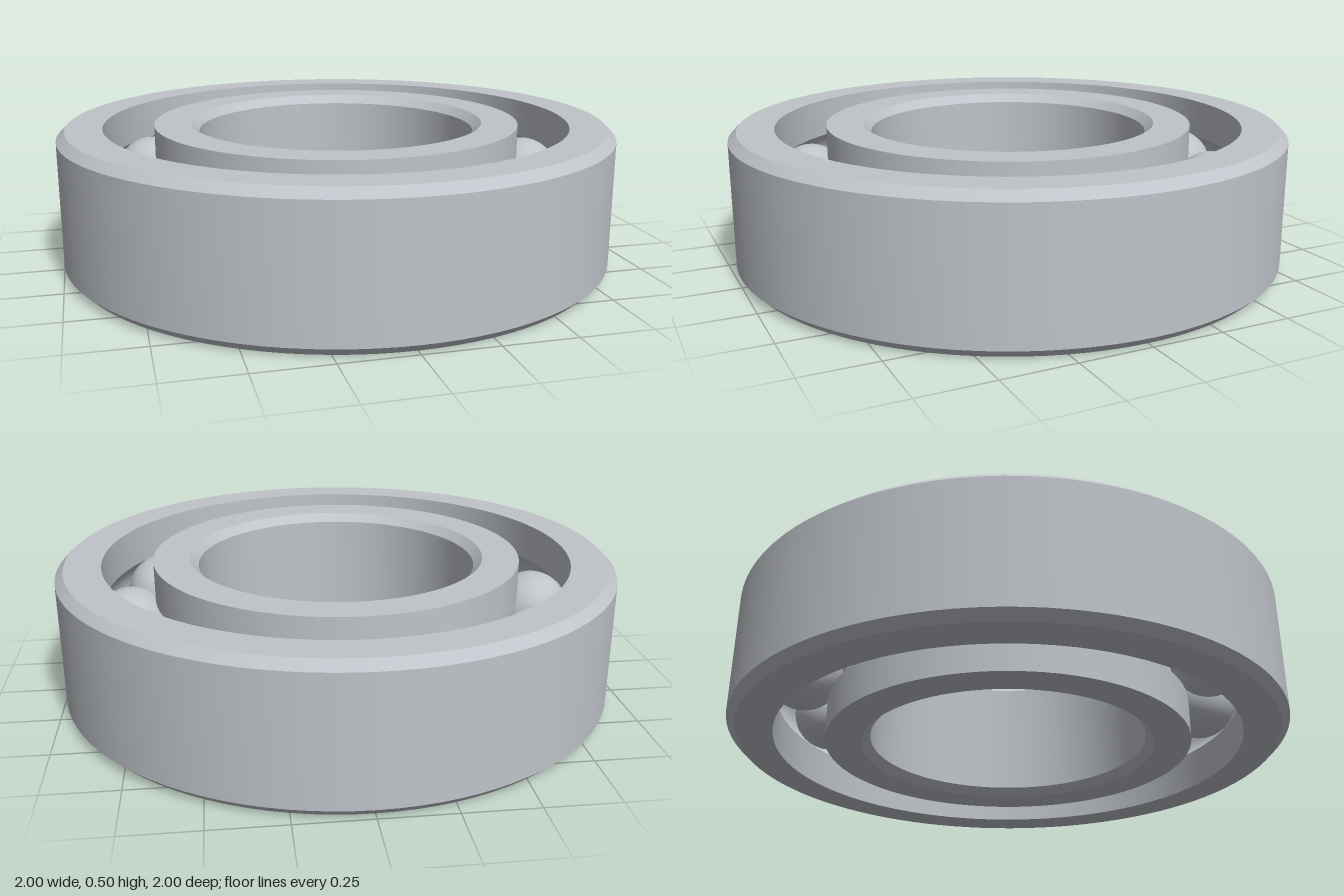
import * as THREE from 'three';
import { toCreasedNormals } from 'three/addons/utils/BufferGeometryUtils.js';

const HEIGHT = 0.5, CHAMFER = 0.03;
const PITCH = 0.75;         // radius of the circle through the ball centres
const BALL = 0.138, GROOVE = 0.14, BALL_COUNT = 12;

// Lathe a closed counterclockwise profile, keeping the chamfers crisp
function ring(name, profile, material) {
  const points = [...profile, profile[0]].map(([r, y]) => new THREE.Vector2(r, y));
  const geometry = toCreasedNormals(new THREE.LatheGeometry(points, 96), 0.5);
  const mesh = new THREE.Mesh(geometry, material);
  mesh.name = name;
  return mesh;
}

// Arc of the ball raceway cut into a wall of the given radius, from bottom to top
function raceway(wall) {
  const side = Math.sign(wall - PITCH);
  const half = Math.acos(Math.abs(wall - PITCH) / GROOVE);
  return Array.from({ length: 17 }, (_, i) => {
    const a = half * (i / 8 - 1);
    return [PITCH + side * GROOVE * Math.cos(a), HEIGHT / 2 + GROOVE * Math.sin(a)];
  });
}

export function createModel() {
  const group = new THREE.Group();
  group.name = 'ballBearing';
  const steel = new THREE.MeshStandardMaterial({ color: 0xc0c4ca });
  steel.name = 'steel';

  // Outer ring: chamfered outside, raceway on the inside wall
  group.add(ring('outerRing', [
    [0.84, 0], [1 - CHAMFER, 0], [1, CHAMFER],
    [1, HEIGHT - CHAMFER], [1 - CHAMFER, HEIGHT], [0.84, HEIGHT],
    ...raceway(0.84).reverse(),
  ], steel));

  // Inner ring: chamfered bore, raceway on the outside wall
  group.add(ring('innerRing', [
    [0.5 + CHAMFER, 0], [0.66, 0], ...raceway(0.66), [0.66, HEIGHT],
    [0.5 + CHAMFER, HEIGHT], [0.5, HEIGHT - CHAMFER], [0.5, CHAMFER],
  ], steel));

  // Balls evenly spaced between the rings
  const balls = new THREE.Group();
  balls.name = 'balls';
  const sphere = new THREE.SphereGeometry(BALL, 40, 24);
  for (let i = 0; i < BALL_COUNT; i++) {
    const a = (i / BALL_COUNT) * Math.PI * 2;
    const ball = new THREE.Mesh(sphere, steel);
    ball.name = 'ball';
    ball.position.set(PITCH * Math.cos(a), HEIGHT / 2, PITCH * Math.sin(a));
    balls.add(ball);
  }
  group.add(balls);
  return group;
}
